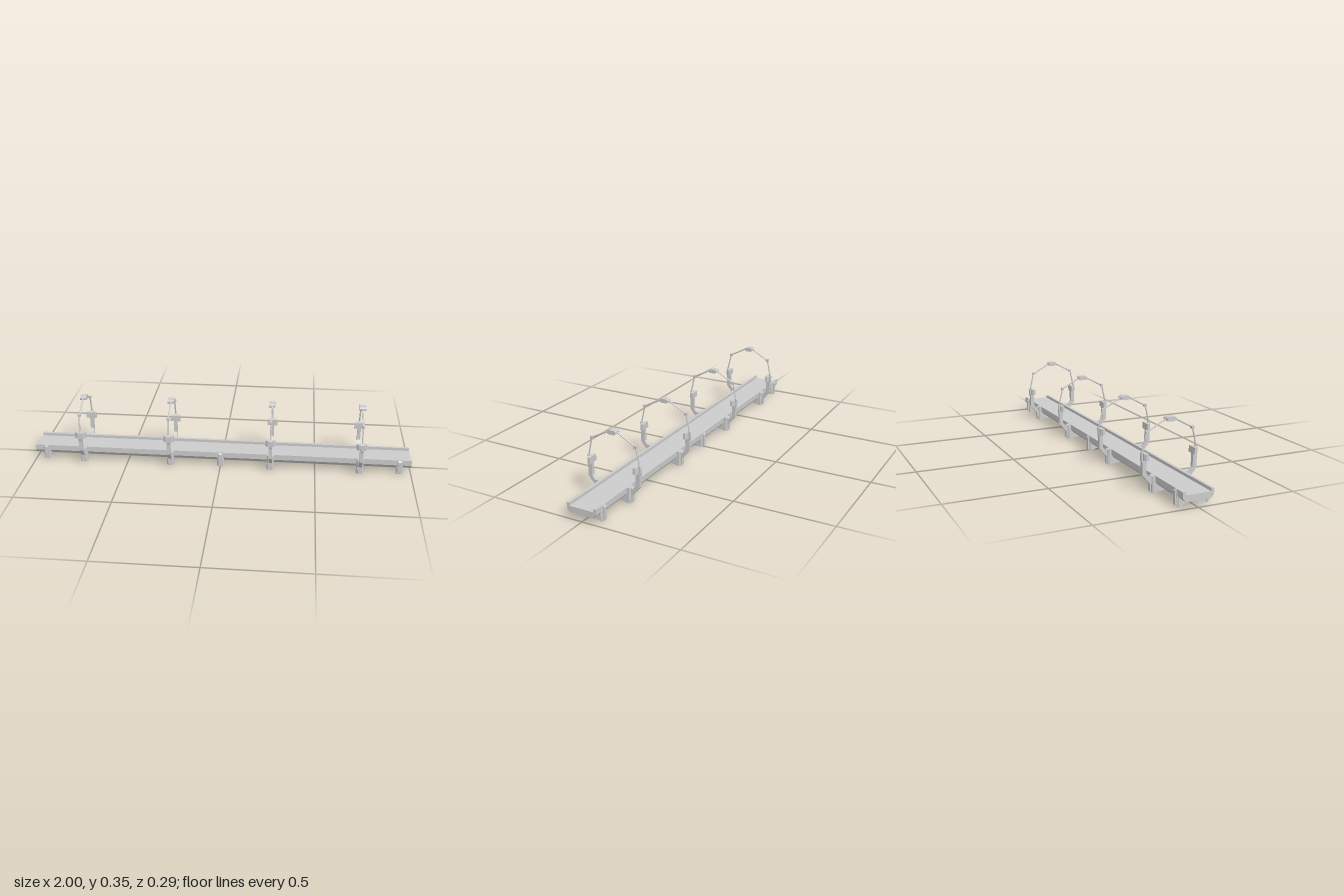
import * as THREE from 'three';

const material = new THREE.MeshStandardMaterial({ color: 0xcccccc, flatShading: true });

function add(parent, geometry, name) {
  const mesh = new THREE.Mesh(geometry, material);
  mesh.name = name;
  parent.add(mesh);
  return mesh;
}

const shapeOf = (points) => new THREE.Shape(points.map(([a, b]) => new THREE.Vector2(a, b)));

// Outline in (z, y), extruded along x and centred
function acrossX(points, width) {
  const g = new THREE.ExtrudeGeometry(shapeOf(points), { depth: width, bevelEnabled: false });
  return g.translate(0, 0, -width / 2).rotateY(-Math.PI / 2);
}

// Outline in (x, z), extruded from y0 up to y1
function upY(points, y0, y1) {
  const g = new THREE.ExtrudeGeometry(shapeOf(points), { depth: y1 - y0, bevelEnabled: false });
  return g.rotateX(Math.PI / 2).translate(0, y1, 0);
}

// Half outline mirrored to a closed symmetric one
const mirrored = (half) => [...half, ...half.slice().reverse().filter(([z]) => z !== 0).map(([z, y]) => [-z, y])];
const flip = (points, s) => points.map(([z, y]) => [z * s, y]);

// Slim rod between two (z, y) points
function rod(parent, a, b, radius, name) {
  const dz = b[0] - a[0], dy = b[1] - a[1];
  const mesh = add(parent, new THREE.CylinderGeometry(radius, radius, Math.hypot(dz, dy), 6), name);
  mesh.position.set(0, (a[1] + b[1]) / 2, (a[0] + b[0]) / 2);
  mesh.rotation.x = Math.atan2(dz, dy);
}

// Foot: arched crossbeam with a tapered block at either end
function makeSupport(x, reach, apex) {
  const support = new THREE.Group();
  support.name = 'support';
  support.position.x = x;
  const beam = mirrored([[0, apex], [0.063, 0], [reach - 0.008, 0], [reach - 0.008, 0.045], [0.06, 0.045]]);
  add(support, acrossX(beam, 0.026), 'crossbeam');
  for (const s of [1, -1]) {
    const plan = [[-0.018, 0.07], [0.018, 0.07], [0.018, reach - 0.014], [0.011, reach - 0.007], [-0.011, reach - 0.007], [-0.018, reach - 0.014]];
    add(support, upY(plan.map(([px, z]) => [px, z * s]), 0, 0.078), 'endBlock');
    const cap = [[reach - 0.01, 0], [reach, 0.006], [reach, 0.07], [reach - 0.008, 0.078], [reach - 0.01, 0.078]];
    add(support, acrossX(flip(cap, s), 0.018), 'endCap');
  }
  return support;
}

// Hoop over the deck: two bent posts, lamp blocks, jointed rods and a top pod
function makeArch(x) {
  const arch = new THREE.Group();
  arch.name = 'arch';
  arch.position.x = x;
  for (const s of [1, -1]) {
    const post = [[0.095, 0.038], [0.102, 0.042], [0.141, 0.0875], [0.141, 0.165], [0.12, 0.165], [0.12, 0.092], [0.102, 0.072], [0.095, 0.072]];
    add(arch, acrossX(flip(post, s), 0.018), 'post');
    const rib = [[0.132, 0.15], [0.141, 0.145], [0.145, 0.157], [0.145, 0.19], [0.138, 0.2], [0.132, 0.189]];
    add(arch, acrossX(flip(rib, s), 0.014), 'postRib');
    const block = [[-0.027, 0.118], [0.027, 0.118], [0.027, 0.13], [0.016, 0.138], [-0.016, 0.138], [-0.027, 0.13]];
    add(arch, upY(block.map(([px, z]) => [px, z * s]), 0.157, 0.189), 'lampBlock');
    rod(arch, [0.141 * s, 0.185], [0.119 * s, 0.283], 0.004, 'lowerRod');
    rod(arch, [0.118 * s, 0.283], [0.018 * s, 0.337], 0.004, 'upperRod');
    add(arch, new THREE.BoxGeometry(0.014, 0.014, 0.014), 'joint').position.set(0, 0.283, 0.118 * s);
  }
  const pod = mirrored([[0.016, 0.325], [0.023, 0.33], [0.023, 0.34], [0.016, 0.346]]);
  add(arch, acrossX(pod, 0.034), 'topPod');
  return arch;
}

export function createModel() {
  const model = new THREE.Group();
  model.name = 'archedWalkway';

  // Deck with raised rims and chamfered lower edges
  const deck = mirrored([[0.064, 0.034], [0.078, 0.05], [0.078, 0.079], [0.064, 0.079], [0.064, 0.064]]);
  add(model, acrossX(deck, 2), 'deck');

  for (const x of [-0.94, 0, 0.94]) model.add(makeSupport(x, 0.087, 0.018));
  for (const x of [-0.735, -0.267, 0.265, 0.733]) {
    model.add(makeSupport(x, 0.102, 0.01), makeArch(x));
  }
  return model;
}
